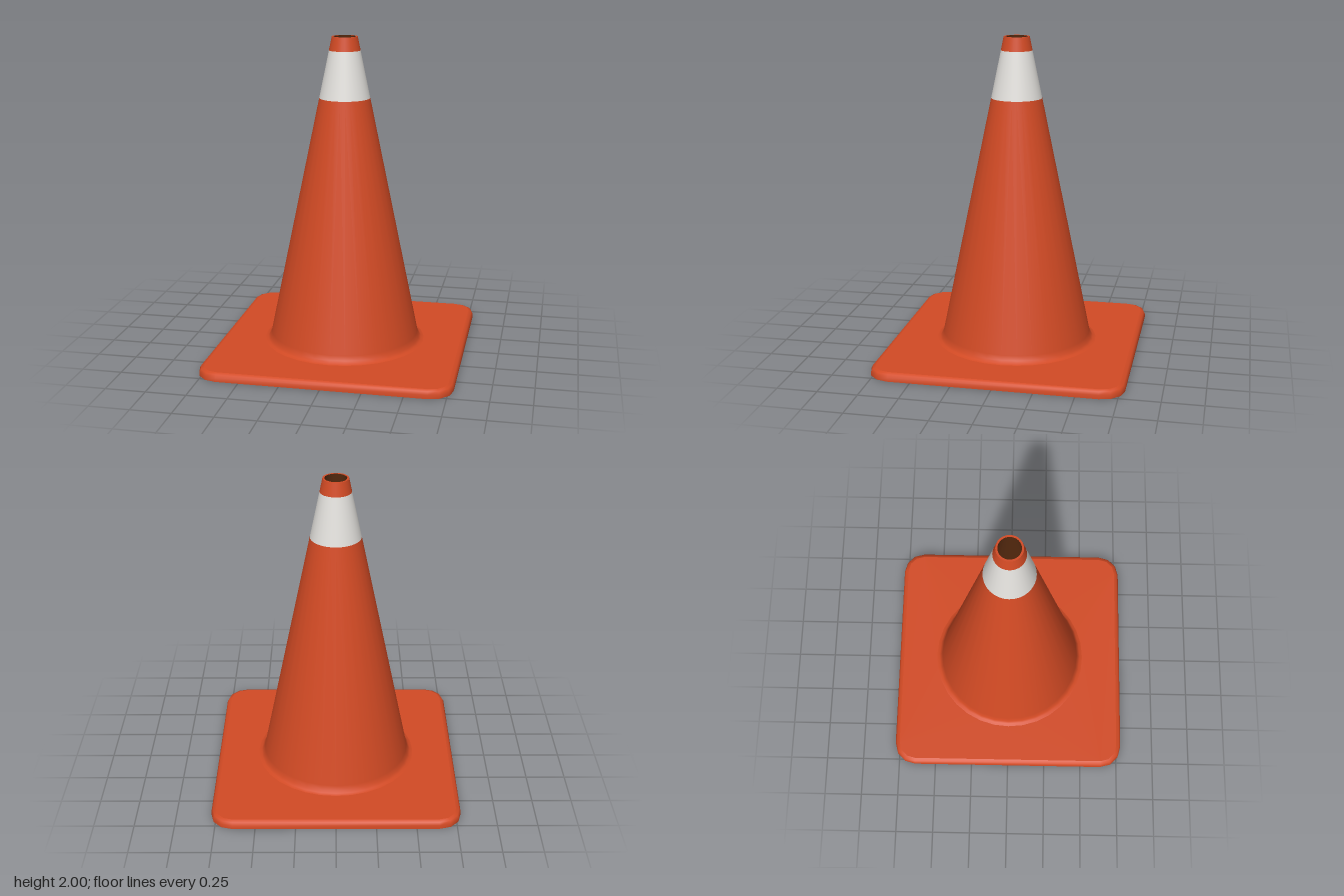
import * as THREE from 'three';

const SEGMENTS = 32;

function material(name, color, side = THREE.FrontSide) {
  const m = new THREE.MeshStandardMaterial({ color, side });
  m.name = name;
  return m;
}

// Outline of a square with rounded corners, counter-clockwise
function roundedSquare(half, radius, steps = 3) {
  const points = [];
  const c = half - radius;
  for (let q = 0; q < 4; q++) {
    const mid = (q + 0.5) * Math.PI / 2;
    const cx = Math.sign(Math.cos(mid)) * c;
    const cy = Math.sign(Math.sin(mid)) * c;
    for (let i = 0; i <= steps; i++) {
      const a = (q + i / steps) * Math.PI / 2;
      points.push(new THREE.Vector2(cx + radius * Math.cos(a), cy + radius * Math.sin(a)));
    }
  }
  return points;
}

// Flat square face with a round hole, facing up or down
function plateFace(outline, holeRadius, y, up) {
  const shape = new THREE.Shape(outline);
  const hole = new THREE.Path();
  hole.absarc(0, 0, holeRadius, 0, Math.PI * 2, true);
  shape.holes.push(hole);
  const geometry = new THREE.ShapeGeometry(shape, SEGMENTS / 2);
  geometry.rotateX(up ? -Math.PI / 2 : Math.PI / 2);
  return geometry.translate(0, y, 0);
}

// Side wall joining equal outlines stacked from bottom to top
function plateEdge(rings) {
  const n = rings[0].points.length;
  const positions = [];
  const indices = [];
  rings.forEach(({ points, y }) => points.forEach((p) => positions.push(p.x, y, -p.y)));
  for (let r = 0; r < rings.length - 1; r++) {
    for (let i = 0; i < n; i++) {
      const a = r * n + i;
      const b = r * n + (i + 1) % n;
      indices.push(a, b, b + n, a, b + n, a + n);
    }
  }
  const geometry = new THREE.BufferGeometry();
  geometry.setAttribute('position', new THREE.Float32BufferAttribute(positions, 3));
  geometry.setIndex(indices);
  geometry.computeVertexNormals();
  return geometry;
}

function lathe(profile) {
  return new THREE.LatheGeometry(profile.map(([r, y]) => new THREE.Vector2(r, y)), SEGMENTS);
}

export function createModel() {
  const group = new THREE.Group();
  const orange = material('orange rubber', 0xd24a24);
  const white = material('reflective white', 0xe2e0dc);
  const inside = material('dark inside', 0x5a2c10);

  function add(name, geometry, mat) {
    const mesh = new THREE.Mesh(geometry, mat);
    mesh.name = name;
    group.add(mesh);
  }

  // Square foot with softened upper edge
  const rings = [[0, 0], [0, 0.025], [0.01, 0.042], [0.03, 0.05]].map(([inset, y]) => ({
    points: roundedSquare(0.78 - inset, 0.14 - inset), y,
  }));
  add('baseEdge', plateEdge(rings), orange);
  add('baseTop', plateFace(rings[3].points, 0.515, 0.05, true), orange);
  add('baseUnderside', plateFace(rings[0].points, 0.46, 0, false), orange);

  // Cone wall: fillet, lower body, reflective band and tip
  const slope = (y) => 0.08 + (2 - y) * 0.207;
  add('lowerCone', lathe([
    [0.515, 0.05], [0.497, 0.056], [0.485, 0.07], [slope(0.1), 0.1], [slope(1.62), 1.62],
  ]), orange);
  add('reflectiveBand', lathe([[slope(1.62), 1.62], [slope(1.915), 1.915]]), white);
  add('coneTip', lathe([[slope(1.915), 1.915], [0.08, 2]]), orange);
  add('topRim', lathe([[0.08, 2], [0.068, 2]]), orange);

  // Hollow inside, open at both ends, with a short lip at the bottom
  add('innerWall', lathe([[0.068, 2], [0.46, 0.015]]), inside);
  add('bottomLip', lathe([[0.46, 0.015], [0.46, 0]]), orange);

  return group;
}
